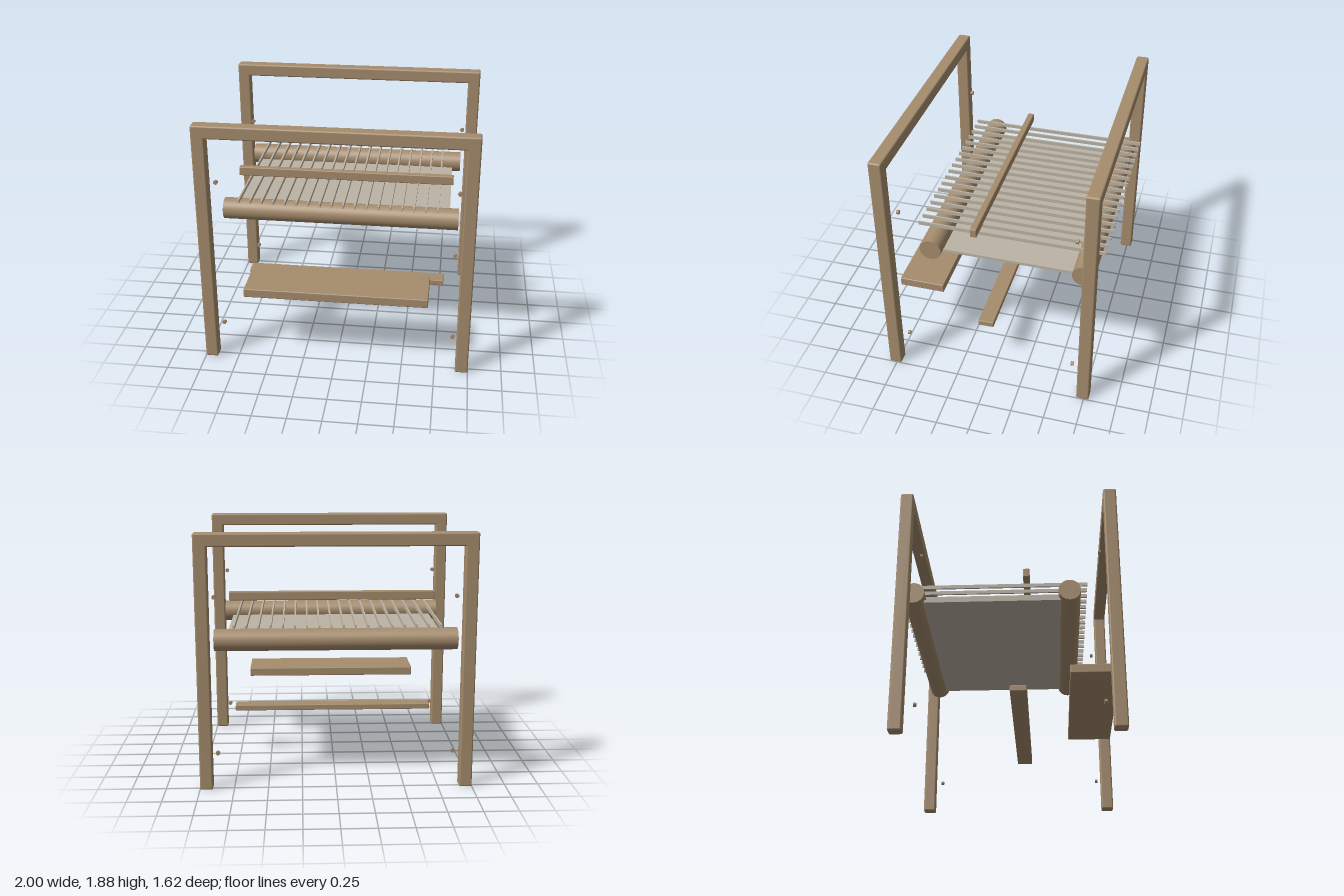
import * as THREE from 'three';
import { RoundedBoxGeometry } from 'three/addons/geometries/RoundedBoxGeometry.js';

export function createModel() {
  const model = new THREE.Group();
  model.name = 'loom';

  const wood = new THREE.MeshStandardMaterial({ color: 0xa68c6d });
  wood.name = 'wood';
  const thread = new THREE.MeshStandardMaterial({ color: 0xbcb3a4 });
  thread.name = 'thread';

  const add = (name, geometry, material, x, y, z, parent = model) => {
    const mesh = new THREE.Mesh(geometry, material);
    mesh.name = name;
    mesh.position.set(x, y, z);
    parent.add(mesh);
    return mesh;
  };
  // Board with softened edges
  const board = (w, h, d, r) => new RoundedBoxGeometry(w, h, d, 2, r);

  // Front and back frames: two posts joined by a top beam
  const postGeometry = board(0.095, 1.877, 0.096, 0.012);
  const beamGeometry = board(2, 0.096, 0.096, 0.012);
  for (const [name, z] of [['frontFrame', 0.76], ['backFrame', -0.74]]) {
    const frame = new THREE.Group();
    frame.name = name;
    frame.position.z = z;
    model.add(frame);
    add('leftPost', postGeometry, wood, 0.9525, 0.9385, 0, frame);
    add('rightPost', postGeometry, wood, -0.9525, 0.9385, 0, frame);
    add('topBeam', beamGeometry, wood, 0, 1.829, 0, frame);
  }

  // Small round pegs inside the frame corners
  const pegGeometry = new THREE.CylinderGeometry(0.016, 0.016, 0.02, 12).rotateX(Math.PI / 2);
  for (const x of [-0.876, 0.876])
    for (const y of [0.228, 1.403])
      for (const z of [0.672, -0.628]) add('peg', pegGeometry, wood, x, y, z);

  // Cloth and warp rollers
  const rollerGeometry = new THREE.CylinderGeometry(0.08, 0.08, 1.75, 40).rotateZ(Math.PI / 2);
  add('clothRoller', rollerGeometry, wood, 0, 1.1, 0.45);
  add('warpRoller', rollerGeometry, wood, 0, 1.1, -0.678);

  // Woven sheet stretched between the rollers
  add('cloth', new THREE.BoxGeometry(1.62, 0.022, 1.05), thread, 0, 1.064, -0.115);

  // Warp strips above the rollers
  const warpGeometry = new THREE.BoxGeometry(0.012, 0.028, 1.394);
  for (let i = 0; i < 18; i++) add('warpStrip', warpGeometry, thread, -0.74 + i * 0.0862, 1.216, -0.113);

  // Heddle bar, bench and treadle bar
  add('heddleBar', board(1.65, 0.07, 0.048, 0.007), wood, 0, 1.278, 0.137);
  add('bench', board(1.37, 0.068, 0.35, 0.007), wood, 0, 0.566, 0.617);
  add('treadleBar', board(1.57, 0.045, 0.12, 0.006), wood, 0, 0.379, 0.075);

  return model;
}
